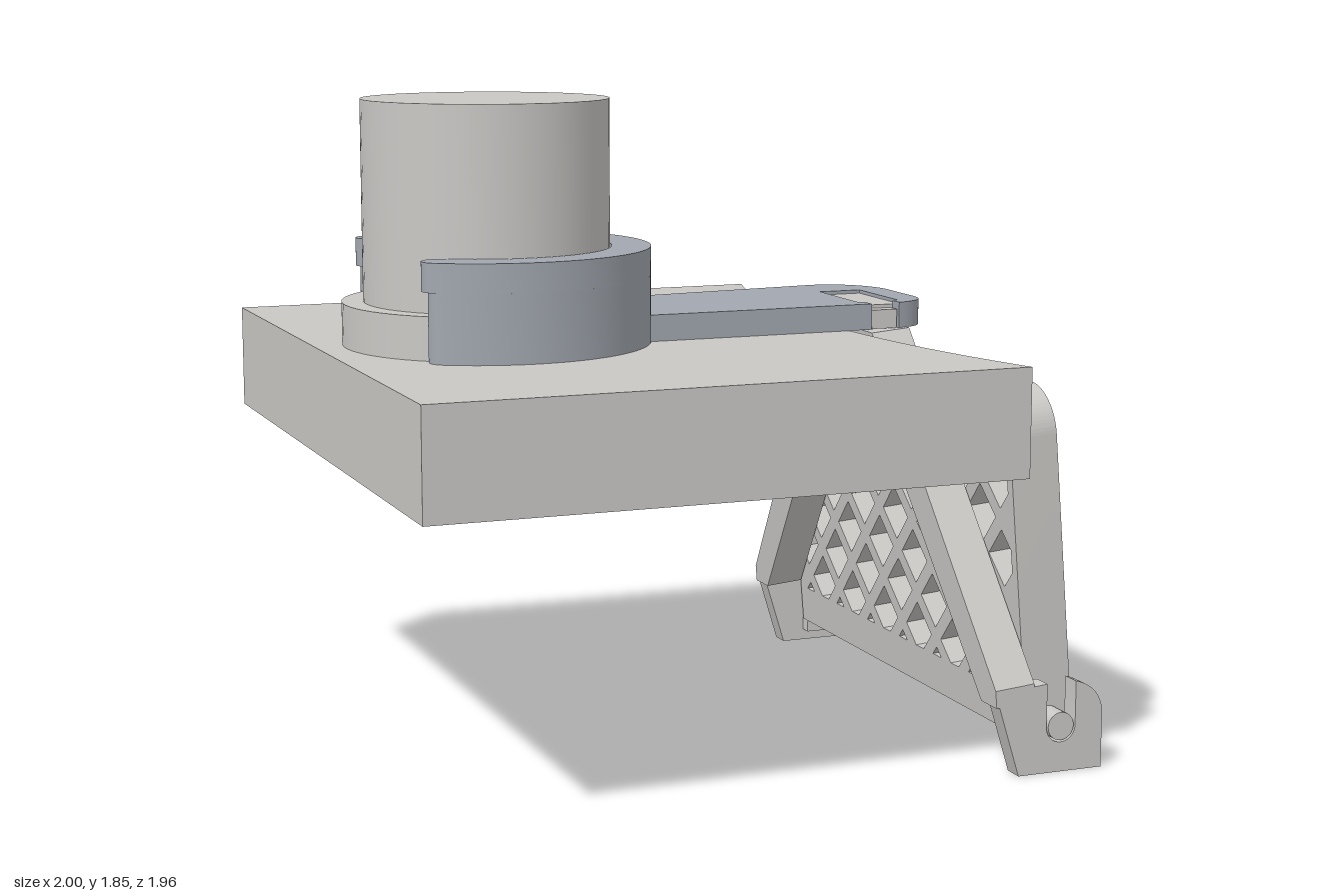
import * as THREE from 'three';
import { toCreasedNormals } from 'three/addons/utils/BufferGeometryUtils.js';

const grey = new THREE.MeshStandardMaterial({ color: 0xcac8c5 });
grey.name = 'warm grey';
const blue = new THREE.MeshStandardMaterial({ color: 0xa2a8b0 });
blue.name = 'blue grey';

const poly = (pts) => new THREE.Shape(pts.map(([x, y]) => new THREE.Vector2(x, y)));
const extrude = (shape, depth) => toCreasedNormals(
  new THREE.ExtrudeGeometry(shape, { depth, bevelEnabled: false, curveSegments: 32 }), 0.5);
// plan outline (x, -z) raised from y0 to y1
const raise = (shape, y0, y1) => extrude(shape, y1 - y0).rotateX(-Math.PI / 2).translate(0, y0, 0);
// upright outline (z, height) given a thickness along x
const upright = (shape, depth) => extrude(shape, depth).rotateY(Math.PI / 2);

// keep the part of a polygon where nx*x + ny*y <= d
function clip(pts, [nx, ny, d]) {
  const out = [];
  pts.forEach((a, i) => {
    const b = pts[(i + 1) % pts.length];
    const da = nx * a[0] + ny * a[1] - d, db = nx * b[0] + ny * b[1] - d;
    if (da <= 0) out.push(a);
    if (da * db < 0) {
      const t = da / (da - db);
      out.push([a[0] + t * (b[0] - a[0]), a[1] + t * (b[1] - a[1])]);
    }
  });
  return out;
}

export function createModel() {
  const model = new THREE.Group();
  const add = (name, geo, mat = grey, parent = model) => {
    const mesh = new THREE.Mesh(geo, mat);
    mesh.name = name;
    parent.add(mesh);
    return mesh;
  };
  const box = (name, x0, x1, y0, y1, z0, z1, parent) => add(name,
    new THREE.BoxGeometry(x1 - x0, y1 - y0, z1 - z0)
      .translate((x0 + x1) / 2, (y0 + y1) / 2, (z0 + z1) / 2), grey, parent);

  // slab with a concave end
  const slab = new THREE.Shape();
  slab.moveTo(-1, -0.98);
  slab.lineTo(0.67, -0.98);
  slab.quadraticCurveTo(0.36, 0, 0.67, 0.98);
  slab.lineTo(-1, 0.98);
  add('slab', raise(slab, 0.87, 1.17));

  // post with a low flange
  add('post', new THREE.CylinderGeometry(0.345, 0.345, 0.68, 64).translate(-0.52, 1.51, 0));
  add('postFlange', new THREE.CylinderGeometry(0.405, 0.405, 0.12, 64).translate(-0.52, 1.23, 0));

  // open clamp ring with rounded ends, the lower part a little shorter
  for (const [name, a, y0, y1] of [['clampLower', 2.13, 1.17, 1.36], ['clampUpper', 2.175, 1.36, 1.44]]) {
    const ring = new THREE.Shape();
    const cx = 0.405 * Math.cos(a), cy = 0.405 * Math.sin(a);
    ring.absarc(0, 0, 0.46, -a, a);
    ring.absarc(cx, cy, 0.055, a, a + Math.PI);
    ring.absarc(0, 0, 0.35, a, -a, true);
    ring.absarc(cx, -cy, 0.055, Math.PI - a, 2 * Math.PI - a);
    add(name, raise(ring, y0, y1).translate(-0.52, 0, 0), blue);
  }

  // flat arm with a T-shaped slot open to the front
  const arm = new THREE.Shape();
  arm.moveTo(-0.13, -0.175);
  for (const [x, y] of [[0.59, -0.175], [0.59, -0.125], [0.57, -0.125], [0.57, 0.14],
    [0.7, 0.14], [0.7, -0.125], [0.68, -0.125], [0.68, -0.17]]) arm.lineTo(x, y);
  arm.quadraticCurveTo(0.785, -0.15, 0.785, -0.05);
  arm.lineTo(0.785, 0.12);
  arm.bezierCurveTo(0.785, 0.23, 0.7, 0.315, 0.6, 0.305);
  arm.lineTo(-0.13, 0.23);
  add('arm', raise(arm, 1.17, 1.245), blue);

  // hanging bracket: tab in the slot and splayed legs
  box('slotTab', 0.57, 0.7, 1.175, 1.235, -0.14, 0.125);
  box('slotTabNeck', 0.595, 0.675, 1.17, 1.225, 0.1, 0.165);
  box('tabStem', 0.595, 0.69, 1.12, 1.18, -0.13, 0.13);
  const bracket = new THREE.Group();
  bracket.name = 'bracket';
  bracket.position.set(0.668, 0.2, 0);
  bracket.rotation.z = 0.085;
  model.add(bracket);
  const half = [[0.74, 0], [0.83, 0], [0.83, 0.05], [0.185, 0.965]];
  add('legs', upright(poly([[0.22, 0.7], ...half,
    ...half.map(([x, y]) => [-x, y]).reverse(), [-0.22, 0.7]]), 0.12), grey, bracket);

  // feet with U-slots that hold the pins
  const foot = new THREE.Shape();
  foot.moveTo(0.74, 0);
  foot.lineTo(1, 0);
  foot.lineTo(1, 0.165);
  foot.quadraticCurveTo(0.99, 0.235, 0.915, 0.255);
  foot.lineTo(0.915, 0.13);
  foot.absarc(0.87, 0.13, 0.045, 0, -Math.PI, true);
  foot.lineTo(0.825, 0.255);
  foot.lineTo(0.665, 0.24);
  for (const s of [1, -1]) {
    const side = s > 0 ? 'left' : 'right';
    add(side + 'Foot', extrude(foot, 0.06).translate(0, 0, s * 0.8 - 0.03));
    add(side + 'Pin', new THREE.CylinderGeometry(0.04, 0.04, 0.11, 24)
      .rotateX(Math.PI / 2).translate(0.87, 0.13, s * 0.775));
    const z = s * 0.752;
    box(side + 'FootStop', 0.81, 0.9, 0.035, 0.075, z - 0.02, z + 0.02);
  }

  // tilted lattice screen, open through its full depth
  const screen = new THREE.Group();
  screen.name = 'screen';
  screen.position.set(0.805, 0.075, 0);
  screen.rotation.z = 0.085;
  model.add(screen);
  const panel = new THREE.Shape();
  panel.moveTo(-0.755, 0.06);
  panel.lineTo(0.755, 0.06);
  panel.absarc(0.625, 0.855, 0.13, 0, Math.PI / 2);
  panel.absarc(-0.625, 0.855, 0.13, Math.PI / 2, Math.PI);
  const limits = [[1, 0, 0.725], [-1, 0, 0.725], [0, 1, 0.95], [0, -1, -0.115],
    [1, 1, 1.621], [-1, 1, 1.621]];
  const pitch = 0.225, r = 0.082;
  for (let j = 0; j < 10; j++) {
    for (let i = -4; i <= 4; i++) {
      const u = (i + (j % 2) / 2) * pitch, v = 0.06 + j * pitch / 2;
      const hole = limits.reduce(clip, [[u + r, v], [u, v + r], [u - r, v], [u, v - r]]);
      if (hole.length < 3) continue;
      const path = poly(hole);
      if (Math.abs(THREE.ShapeUtils.area(path.getPoints())) > 0.0004) panel.holes.push(path);
    }
  }
  add('lattice', upright(panel, 0.145), grey, screen);
  // chamfered bottom rail
  add('bottomRail', extrude(poly([[0, 0], [0.1, 0], [0.145, 0.06], [0, 0.06]]), 1.51)
    .translate(0, 0, -0.755), grey, screen);

  return model;
}
